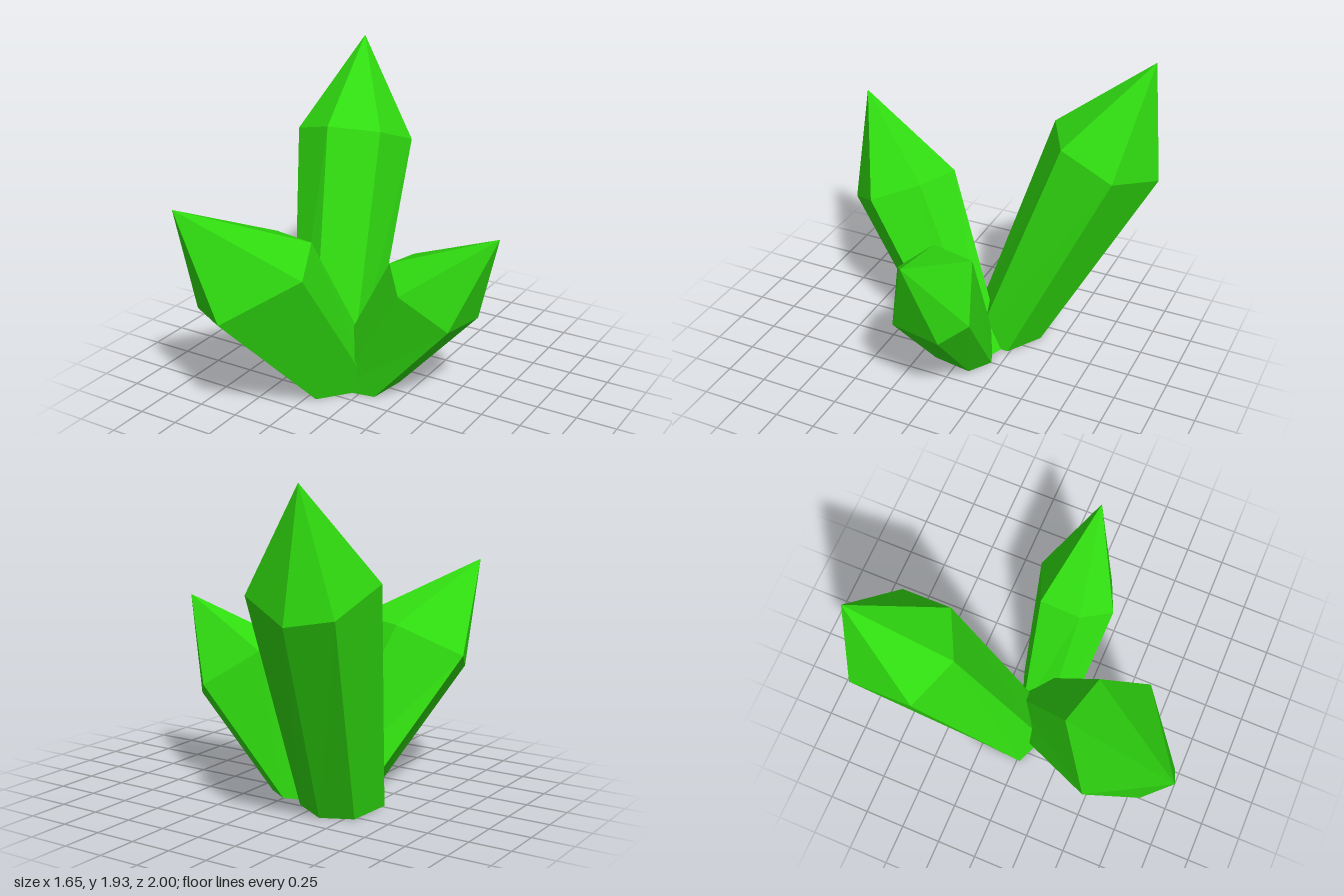
import * as THREE from 'three';

// Each crystal: ground ring [x, z], shoulder ring [x, y, z] and tip,
// rings running counterclockwise as seen from above.
const CRYSTALS = {
  tallBackCrystal: {
    tip: [-0.6, 1.93, -0.92],
    shoulder: [[-0.83, 1.39, -0.48], [-0.53, 1.48, -0.35], [-0.24, 1.45, -0.5],
      [-0.2, 1.32, -0.83], [-0.56, 1.21, -1], [-0.8, 1.25, -0.89]],
    ground: [[-0.57, 0.02], [-0.37, 0.1], [-0.16, -0.01], [-0.15, -0.235], [-0.37, -0.37], [-0.55, -0.28]],
  },
  frontCrystal: {
    tip: [-0.67, 1.35, 1],
    shoulder: [[-0.8, 0.83, 0.53], [-0.66, 0.7, 0.84], [-0.42, 0.7, 0.97],
      [-0.06, 0.93, 0.66], [-0.18, 1.04, 0.38], [-0.48, 1.02, 0.29]],
    ground: [[-0.415, -0.02], [-0.37, 0.25], [-0.19, 0.35], [0.04, 0.07], [-0.02, -0.14], [-0.17, -0.195]],
  },
  sideCrystal: {
    tip: [0.82, 1.13, -0.01],
    shoulder: [[0.18, 0.89, 0.11], [0.33, 0.775, 0.275], [0.6, 0.57, 0.17],
      [0.64, 0.55, -0.14], [0.52, 0.64, -0.28], [0.2, 0.86, -0.15]],
    ground: [[-0.3, 0.07], [-0.155, 0.19], [0.1, 0.145], [0.14, -0.1], [0, -0.19], [-0.25, -0.1]],
  },
};

function crystalGeometry({ tip, shoulder, ground }) {
  const base = ground.map(([x, z]) => [x, 0, z]);
  const points = [];
  const tri = (a, b, c) => points.push(...a, ...b, ...c);
  const n = base.length;
  for (let i = 0; i < n; i++) {
    const j = (i + 1) % n;
    // shaft side
    tri(base[i], base[j], shoulder[j]);
    tri(base[i], shoulder[j], shoulder[i]);
    // pointed end
    tri(shoulder[i], shoulder[j], tip);
    // flat underside
    if (i > 0 && i < n - 1) tri(base[0], base[j], base[i]);
  }
  const geometry = new THREE.BufferGeometry();
  geometry.setAttribute('position', new THREE.Float32BufferAttribute(points, 3));
  geometry.computeVertexNormals();
  return geometry;
}

export function createModel() {
  const group = new THREE.Group();
  group.name = 'crystalCluster';
  const green = new THREE.MeshStandardMaterial({ color: 0x30dc10, flatShading: true });
  green.name = 'crystalGreen';
  for (const [name, spec] of Object.entries(CRYSTALS)) {
    const mesh = new THREE.Mesh(crystalGeometry(spec), green);
    mesh.name = name;
    group.add(mesh);
  }
  return group;
}
